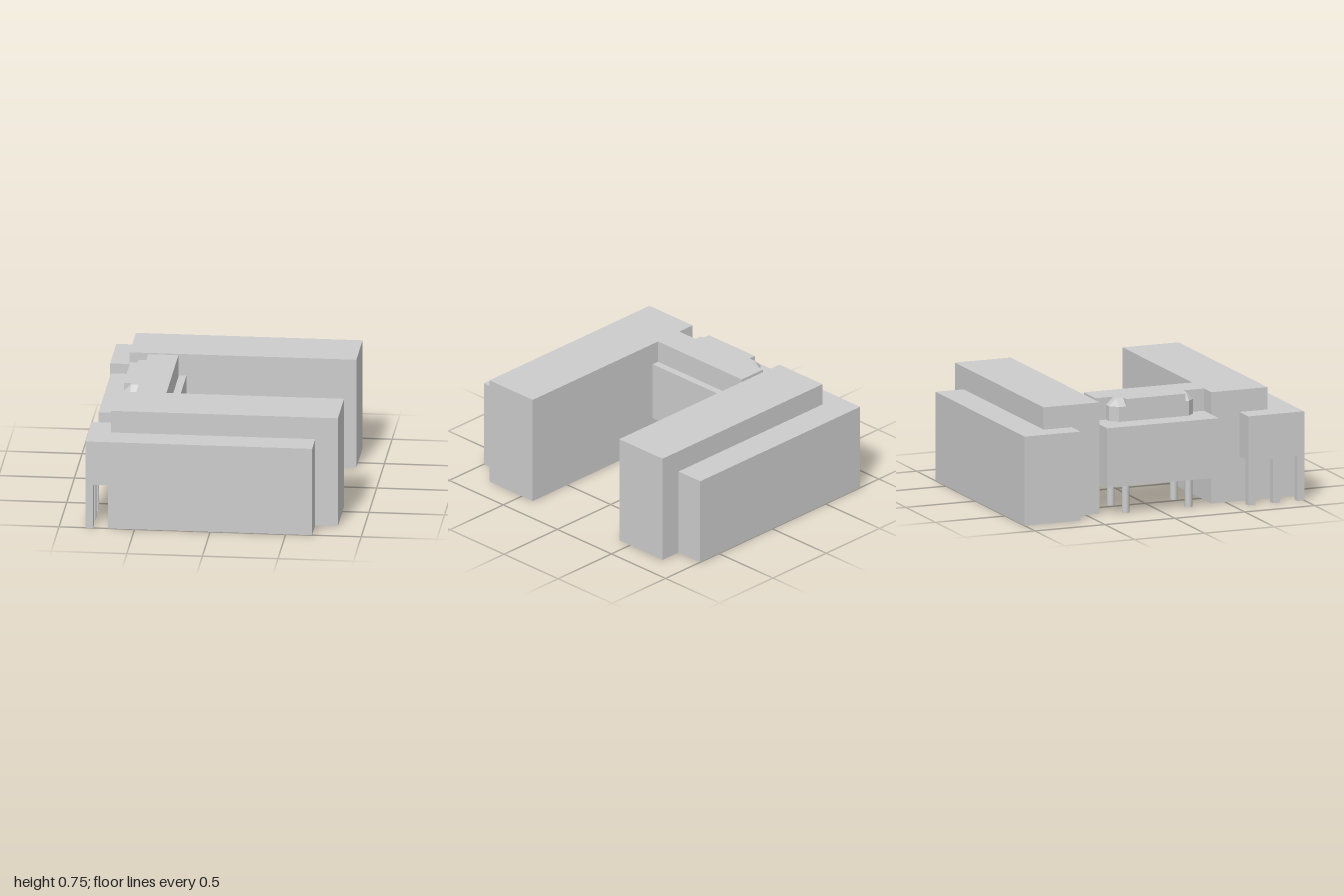
import * as THREE from 'three';

export function createModel() {
  const model = new THREE.Group();
  model.name = 'building';
  const concrete = new THREE.MeshStandardMaterial({ color: 0xcccccc });
  concrete.name = 'concrete';

  const add = (name, geometry, parent = model) => {
    const mesh = new THREE.Mesh(geometry, concrete);
    mesh.name = name;
    parent.add(mesh);
    return mesh;
  };

  // Box given by its extents on each axis
  const block = (name, [x0, x1], [y0, y1], [z0, z1], parent) => {
    const mesh = add(name, new THREE.BoxGeometry(x1 - x0, y1 - y0, z1 - z0), parent);
    mesh.position.set((x0 + x1) / 2, (y0 + y1) / 2, (z0 + z1) / 2);
    return mesh;
  };

  // Upright prism over a floor plan of [x, z] points
  const prism = (name, plan, y0, y1, parent) => {
    const shape = new THREE.Shape(plan.map(([x, z]) => new THREE.Vector2(x, -z)));
    const geometry = new THREE.ExtrudeGeometry(shape, { depth: y1 - y0, bevelEnabled: false });
    geometry.rotateX(-Math.PI / 2).translate(0, y0, 0);
    return add(name, geometry, parent);
  };

  // Tall inner wings and the solid rear outer wing
  block('frontInnerWing', [-0.675, 0.825], [0, 0.75], [0.4, 0.8]);
  block('backInnerWing', [-0.675, 0.825], [0, 0.75], [-0.8, -0.4]);
  block('backOuterWing', [-0.825, 0.675], [0, 0.6], [-1, -0.6]);

  // Front outer wing with an open porch on three square pillars
  block('frontOuterWing', [-0.675, 0.675], [0, 0.6], [0.6, 1]);
  const porch = new THREE.Group();
  porch.name = 'porch';
  model.add(porch);
  block('porchCanopy', [-0.825, -0.675], [0.3, 0.6], [0.6, 1], porch);
  for (const z of [0.6, 0.775, 0.95]) {
    block('porchPillar', [-0.825, -0.775], [0, 0.3], [z, z + 0.05], porch);
  }

  // Raised connecting block on round columns
  block('connector', [-0.8, -0.3], [0.2, 0.6], [-0.4, 0.4]);
  for (const x of [-0.7, -0.45]) {
    for (const z of [-0.225, 0.225]) {
      add('connectorColumn', new THREE.CylinderGeometry(0.025, 0.025, 0.2, 24)).position.set(x, 0.1, z);
    }
  }

  // Upper storey of the connector, cut back at two corners
  prism('upperStorey', [
    [-0.55, -0.375], [-0.35, -0.375], [-0.35, 0.4], [-0.55, 0.4], [-0.55, 0.25], [-0.6, 0.25],
    [-0.6, 0.225], [-0.65, 0.225], [-0.65, -0.2], [-0.6, -0.2], [-0.6, -0.25], [-0.55, -0.25],
  ], 0.6, 0.75);

  // Chamfered corner bays with sloping roofs; s is the side along z
  const cornerBay = (s, start) => {
    const low = 0.7, high = 0.75;
    const outer = [[-0.65, s * start], [-0.65, s * 0.25], [-0.6, s * 0.3], [-0.55, s * 0.3]];
    const inner = [[-0.6, s * start], [-0.6, s * 0.25], [-0.6, s * 0.25], [-0.55, s * 0.25]];
    const bay = new THREE.Group();
    bay.name = 'cornerBay';
    model.add(bay);
    prism('bayWalls', [...outer, inner[3], inner[1], inner[0]], 0.6, low, bay);

    const positions = [];
    const triangle = (a, b, c) => positions.push(...(s < 0 ? [a, b, c] : [a, c, b]).flat());
    const at = ([x, z], y) => [x, y, z];
    for (let i = 0; i < 3; i++) {
      const a = at(outer[i], low), b = at(outer[i + 1], low);
      const c = at(inner[i + 1], high), d = at(inner[i], high);
      triangle(a, c, b);
      if (i !== 1) triangle(a, d, c);
    }
    const roof = new THREE.BufferGeometry();
    roof.setAttribute('position', new THREE.Float32BufferAttribute(positions, 3));
    roof.computeVertexNormals();
    add('bayRoof', roof, bay);
  };
  cornerBay(-1, 0.2);
  cornerBay(1, 0.225);

  return model;
}
